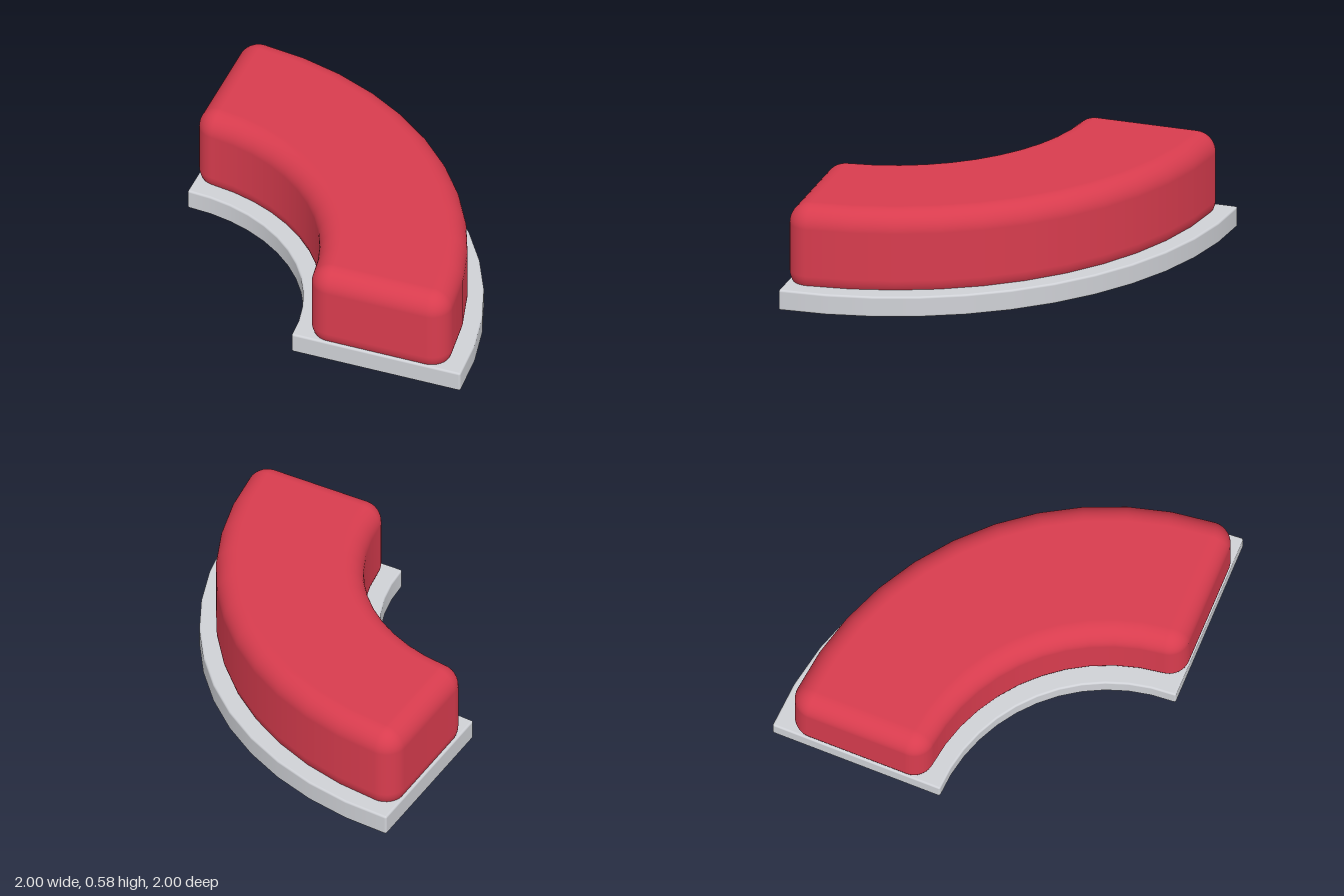
import * as THREE from 'three';

const CORNER = 5; // divisions per rounded edge

// Grid index -> coordinate in [-half, half], dense near the rounded ends
function gridCoord(i, flat, half, r) {
  const last = 2 * CORNER + flat;
  const edge = (k) => -half + r * (1 - Math.tan((Math.PI / 4) * (1 - k / CORNER)));
  if (i <= CORNER) return edge(i);
  if (i >= last - CORNER) return -edge(last - i);
  return (half - r) * ((2 * (i - CORNER)) / flat - 1);
}

// Rounded box bent through a quarter circle centred on x = -1, z = 1
function bentRoundedBox(inner, outer, bottom, top, r, arcSteps) {
  const flat = [4, 1, arcSteps];
  const count = flat.map((f) => f + 2 * CORNER);
  const middle = (inner + outer) / 2;
  const half = [(outer - inner) / 2, (top - bottom) / 2, (middle * Math.PI) / 4];
  const geo = new THREE.BoxGeometry(1, 1, 1, ...count);
  const pos = geo.attributes.position;
  const nor = geo.attributes.normal;
  const up = new THREE.Vector3(0, 1, 0);
  for (let v = 0; v < pos.count; v++) {
    const p = [pos.getX(v), pos.getY(v), pos.getZ(v)].map((c, a) =>
      gridCoord(Math.round((c + 0.5) * count[a]), flat[a], half[a], r));
    // Nearest point of the inner core and the outward direction from it
    const q = p.map((c, a) => THREE.MathUtils.clamp(c, r - half[a], half[a] - r));
    const n = new THREE.Vector3(p[0] - q[0], p[1] - q[1], p[2] - q[2]).normalize();
    // Bend the core, then push out along the local frame
    const rho = middle + q[0];
    const inset = Math.asin(r / rho);
    const t = 0.5 - q[2] / (2 * (half[2] - r));
    const angle = inset + t * (Math.PI / 2 - 2 * inset);
    const radial = new THREE.Vector3(Math.cos(angle), 0, -Math.sin(angle));
    const along = new THREE.Vector3(Math.sin(angle), 0, Math.cos(angle));
    const dir = new THREE.Vector3()
      .addScaledVector(radial, n.x).addScaledVector(up, n.y).addScaledVector(along, n.z);
    const out = new THREE.Vector3(-1, (top + bottom) / 2 + q[1], 1)
      .addScaledVector(radial, rho).addScaledVector(dir, r);
    pos.setXYZ(v, out.x, out.y, out.z);
    nor.setXYZ(v, dir.x, dir.y, dir.z);
  }
  return geo;
}

export function createModel() {
  const group = new THREE.Group();
  group.name = 'curvedBench';
  const red = new THREE.MeshStandardMaterial({ color: 0xd83c4e });
  red.name = 'red upholstery';
  const grey = new THREE.MeshStandardMaterial({ color: 0xcfd1d6 });
  grey.name = 'light grey base';

  // Thin plinth with softened edges
  const base = new THREE.Mesh(bentRoundedBox(1, 2, 0, 0.12, 0.012, 12), grey);
  base.name = 'base';

  // Cushion, its underside sunk into the plinth
  const cushion = new THREE.Mesh(bentRoundedBox(1.09, 1.91, 0.06, 0.58, 0.12, 11), red);
  cushion.name = 'cushion';

  group.add(base, cushion);
  return group;
}
